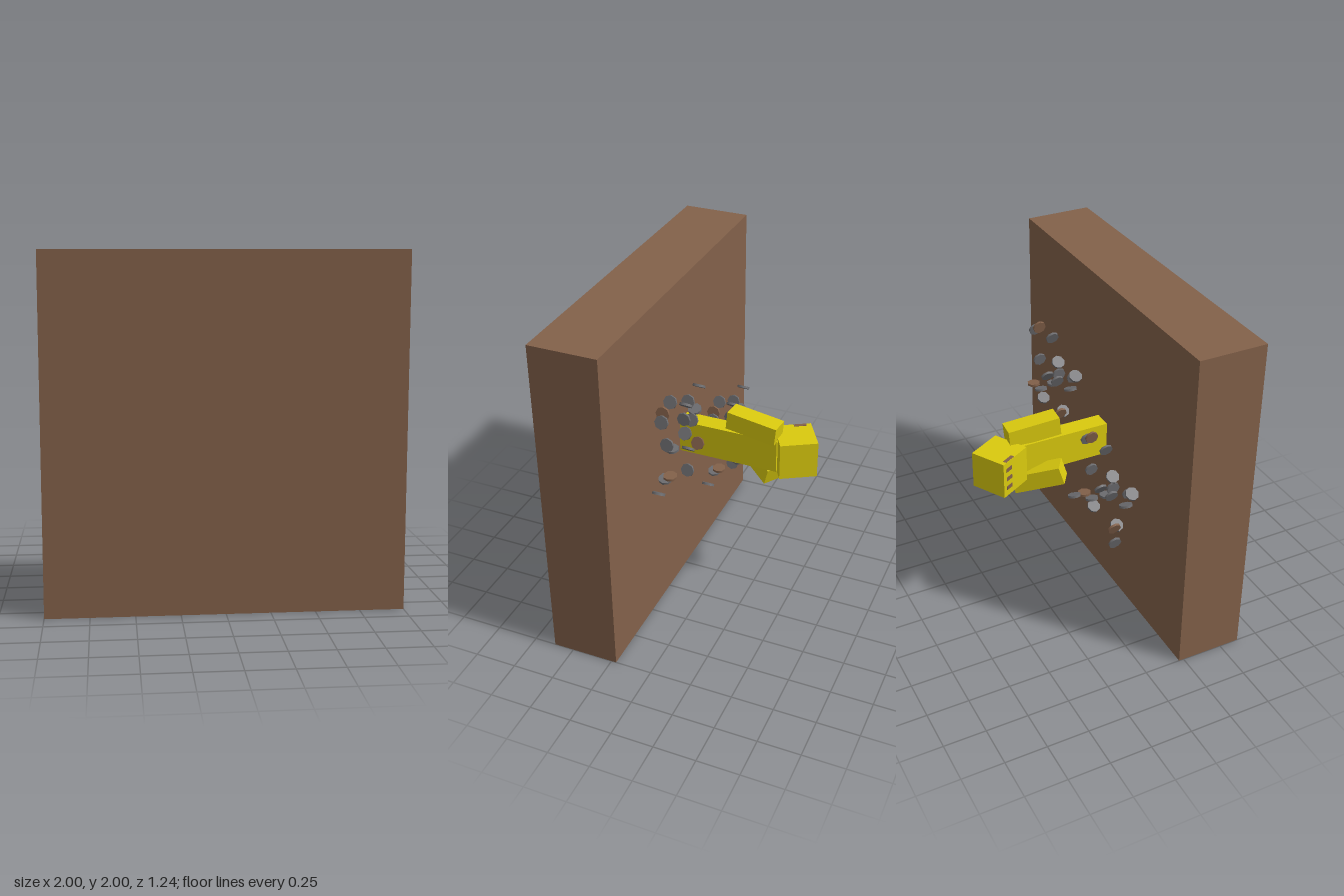
import * as THREE from 'three';

const paint = (name, color) => {
  const m = new THREE.MeshStandardMaterial({ color });
  m.name = name;
  return m;
};

export function createModel() {
  const group = new THREE.Group();
  const brown = paint('earth brown', 0x83614a);
  const yellow = paint('yellow', 0xdaca0e);
  const grey = paint('stone grey', 0x6d6d70);

  const box = (name, size, pos, mat, parent = group) => {
    const mesh = new THREE.Mesh(new THREE.BoxGeometry(...size), mat);
    mesh.name = name;
    mesh.position.set(...pos);
    parent.add(mesh);
    return mesh;
  };

  // Wall slab
  box('wall', [2, 2, 0.4], [0, 1, 0.42], brown);

  // Blocky figure sticking straight out of the wall, facing -x
  for (const side of [-1, 1]) {
    box(side < 0 ? 'rightLeg' : 'leftLeg', [0.11, 0.103, 0.3], [-0.005, 1 + side * 0.0515, 0.07], yellow);
  }
  box('torso', [0.11, 0.206, 0.31], [-0.005, 1, -0.235], yellow);

  // Arms run from shoulder to hand
  const arm = (name, shoulder, hand) => {
    const a = new THREE.Vector3(...shoulder), b = new THREE.Vector3(...hand);
    const mesh = box(name, [0.112, 0.112, a.distanceTo(b)], a.clone().lerp(b, 0.5).toArray(), yellow);
    mesh.lookAt(b);
  };
  arm('upperArm', [0.02, 1.145, -0.392], [-0.008, 1.175, -0.082]);
  arm('lowerArm', [0, 0.838, -0.36], [-0.16, 0.93, -0.12]);

  // Turned head with small thin markings
  const head = new THREE.Group();
  head.name = 'head';
  head.position.set(-0.052, 1.002, -0.47);
  head.rotation.y = Math.PI / 6;
  group.add(head);
  box('skull', [0.222, 0.226, 0.222], [0, 0, 0], yellow, head);
  box('crownMark', [0.022, 0.003, 0.075], [-0.098, 0.113, -0.045], brown, head);
  for (const y of [-0.06, 0, 0.06]) {
    box('faceMark', [0.004, 0.025, 0.05], [-0.111, y, -0.06], brown, head);
  }

  // Flat pebbles: x, y, z, tilt about z in degrees, 1 for brown
  const pebbles = [
    [0.61, 1.45, 0.07, -75, 0], [0.57, 1.48, 0.08, -80, 1], [0.43, 1.47, 0.1, -70, 0],
    [0.55, 1.27, 0.07, -80, 0], [0.29, 1.38, 0.07, 40, 0], [0.375, 1.25, 0.04, -60, 0],
    [0.3, 1.29, 0.08, -85, 0], [0.26, 1.27, 0.05, -70, 0], [0.17, 1.33, 0.11, -75, 0],
    [0.42, 1.16, 0.1, -5, 0], [0.145, 1.27, 0.08, -20, 0], [0.58, 1.09, 0.04, -5, 1],
    [0.56, 1.05, 0.08, -15, 0], [0.59, 0.96, 0.11, 35, 0], [0.245, 1.06, 0.08, 40, 0],
    [0.2, 1.08, 0.04, -70, 1], [0.26, 0.92, 0.08, -75, 0], [0.08, 1.39, 0.08, 35, 0],
  ];
  const disc = new THREE.CylinderGeometry(0.04, 0.04, 0.014, 8);
  const pebble = (name, [x, y, z, tilt, isBrown]) => {
    const mesh = new THREE.Mesh(disc, isBrown ? brown : grey);
    mesh.name = name;
    mesh.position.set(x, y, z);
    mesh.rotation.z = THREE.MathUtils.degToRad(tilt);
    group.add(mesh);
  };
  // The same scatter appears twice, the second lower and to the other side
  for (const p of pebbles) {
    pebble('pebble', p);
    pebble('pebble', [p[0] - 0.705, p[1] - 0.39, ...p.slice(2)]);
  }
  pebble('loosePebble', [-0.19, 0.755, -0.06, -20, 0]);

  return group;
}
